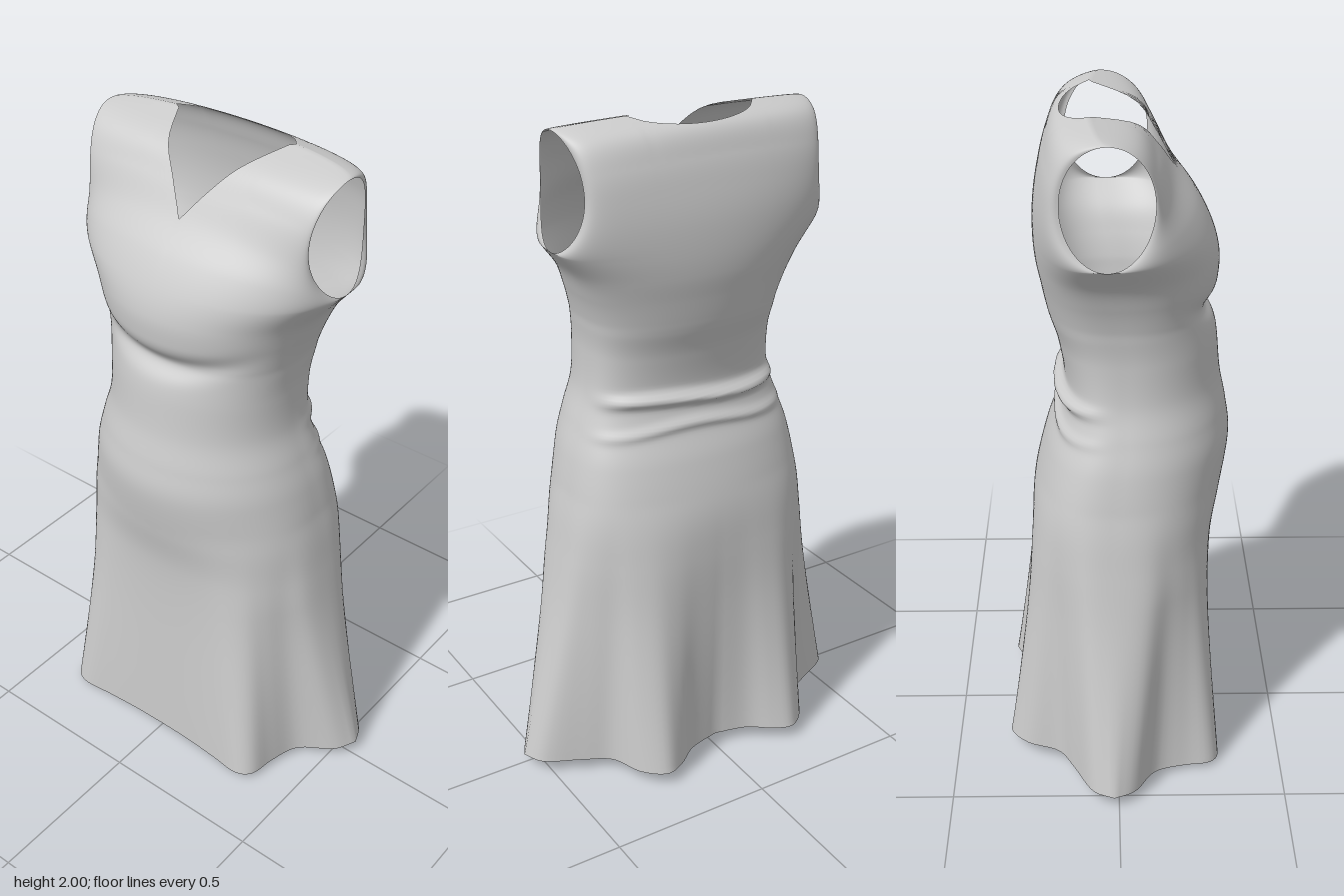
import * as THREE from 'three';
import { mergeVertices, mergeGeometries } from 'three/addons/utils/BufferGeometryUtils.js';

// Body sections, hem to underarm: [height, half width, side z, front z, back z]
const SECTIONS = [
  [0, 0.40, -0.01, 0.28, -0.255],
  [0.25, 0.395, 0, 0.275, -0.26],
  [0.5, 0.39, 0, 0.275, -0.26],
  [0.7, 0.39, 0, 0.285, -0.26],
  [0.85, 0.385, 0.01, 0.312, -0.25],
  [1.0, 0.36, 0.02, 0.333, -0.215],
  [1.1, 0.33, 0.03, 0.322, -0.178],
  [1.2, 0.30, 0.03, 0.302, -0.157],
  [1.32, 0.293, 0.03, 0.29, -0.175],
  [1.4, 0.30, 0.02, 0.277, -0.20],
  [1.44, 0.307, 0.015, 0.277, -0.21],
  [1.5, 0.325, 0, 0.288, -0.222],
  [1.57, 0.355, -0.02, 0.29, -0.235],
  [1.645, 0.413, -0.03, 0.27, -0.24],
];
// Centre lines from the chest over to the shoulder seam: [height, z]
const FRONT_TOP = [[1.73, 0.225], [1.81, 0.16], [1.89, 0.11], [1.96, 0.05], [2.0, -0.085]];
const BACK_TOP = [[1.73, -0.237], [1.81, -0.225], [1.89, -0.205], [1.965, -0.17], [2.0, -0.085]];
// Fluted hem, centre to side: [x, z]
const FRONT_HEM = [[0, 0.285], [0.11, 0.288], [0.22, 0.298], [0.32, 0.31], [0.37, 0.28],
  [0.385, 0.2], [0.42, 0.11], [0.52, 0.05], [0.56, -0.015]];
const BACK_HEM = [[0, -0.24], [0.1, -0.265], [0.17, -0.315], [0.235, -0.335], [0.3, -0.28],
  [0.34, -0.185], [0.42, -0.135], [0.525, -0.08], [0.56, -0.015]];

const LOWER = SECTIONS.length - 1;
const UPPER = FRONT_TOP.length;
const COLS = 72, STEPS = 12;
const NECK = 0.19;

const spline = (pts) => new THREE.CatmullRomCurve3(pts.map((p) => new THREE.Vector3(...p)), false, 'catmullrom', 0.5);
const at = (curve, v) => curve.getPoint(v / (curve.points.length - 1));
const bump = (d, s) => Math.exp(-(d * d) / (s * s));

const sideSeam = spline(SECTIONS.map(([y, w, z]) => [w, y, z]));

// Side seam below the underarm, oval armhole edge above it
function edgePoint(v, dir) {
  if (v <= LOWER) return at(sideSeam, v);
  const a = Math.PI * (v - LOWER) / UPPER;
  const cos = Math.cos(a);
  return new THREE.Vector3(
    0.373 + (cos > 0 ? 0.04 : 0.03) * cos * cos,
    1.81 - 0.165 * cos,
    -0.03 + dir * 0.125 * Math.sin(a));
}

// Roundness of a section: 1 is an ellipse, less is boxier
function roundness(y, rise, front) {
  const base = front
    ? 0.6 + 0.35 * THREE.MathUtils.smoothstep(y, 0.6, 1.0) - 0.1 * THREE.MathUtils.smoothstep(y, 1.2, 1.5)
    : 0.62;
  return base + (1 - base) * rise ** 3;
}

// One half of the dress; dir is +1 for the front and -1 for the back
function panel(dir) {
  const front = dir > 0;
  const centre = spline([
    ...SECTIONS.map((s) => [0, s[0], front ? s[3] : s[4]]),
    ...(front ? FRONT_TOP : BACK_TOP).map(([y, z]) => [0, y, z]),
  ]);
  const hem = spline((front ? FRONT_HEM : BACK_HEM).map(([x, z]) => [x, 0, z]));

  // How far up a column reaches before the neckline cuts it
  const reach = (t) => {
    const n = Math.min(1, Math.abs(0.4 * Math.sin(t)) / NECK);
    return front ? 0.4 + 0.6 * n : 1 - 0.17 * Math.sqrt(1 - n * n);
  };

  const point = (t, row) => {
    let v = row / STEPS;
    if (v > LOWER) v = LOWER + (v - LOWER) * reach(t);
    const rise = Math.max(0, (v - LOWER) / UPPER);
    const c = at(centre, v), e = edgePoint(v, dir);
    const cos = Math.abs(t) > 1.5707 ? 0 : Math.cos(t);
    const k = Math.pow(cos, roundness(c.y, rise, front));
    const p = new THREE.Vector3(e.x * Math.sin(t), e.y + (c.y - e.y) * k, e.z + (c.z - e.z) * k);

    // Flare into the fluted hem
    const flare = Math.pow(Math.max(0, 1 - p.y / 0.9), 1.3);
    if (flare > 0) {
      const h = hem.getPoint(Math.min(1, Math.abs(t) / (Math.PI / 2)));
      p.x += (h.x * Math.sign(t) - p.x) * flare;
      p.z += (h.z - p.z) * flare;
      p.y += flare * (front ? 0.04 * (h.x / 0.56) ** 2 : 0.04 + 0.004 * cos);
    }
    if (front) {
      // Curved crease under the bust
      p.z -= 0.026 * bump(p.y - 1.42 - 0.8 * p.x * p.x, 0.035) * bump(p.x, 0.24) * cos;
    } else {
      // Gathered folds across the back of the waist
      const y1 = 1.182 + 0.01 * Math.sin(9 * p.x), y2 = 1.1 + 0.012 * Math.sin(11 * p.x + 1);
      p.z -= k * (0.03 * bump(p.y - y1, 0.018) + 0.012 * bump(p.y - y2, 0.015));
    }
    return p;
  };

  const rows = (LOWER + UPPER) * STEPS;
  const positions = [], index = [];
  for (let r = 0; r <= rows; r++) {
    for (let i = 0; i <= COLS; i++) {
      positions.push(...point((i / COLS - 0.5) * Math.PI, r).toArray());
      if (r === rows || i === COLS) continue;
      const a = r * (COLS + 1) + i, b = a + 1, d = a + COLS + 1, c = d + 1;
      if (front) index.push(a, b, c, a, c, d);
      else index.push(a, c, b, a, d, c);
    }
  }
  const geometry = new THREE.BufferGeometry();
  geometry.setAttribute('position', new THREE.Float32BufferAttribute(positions, 3));
  geometry.setIndex(index);
  return geometry;
}

export function createModel() {
  // Front and back joined along the side and shoulder seams
  const geometry = mergeVertices(mergeGeometries([panel(1), panel(-1)]), 1e-4);
  geometry.computeVertexNormals();
  const dress = new THREE.Mesh(geometry,
    new THREE.MeshStandardMaterial({ color: 0xcccccc, side: THREE.DoubleSide }));
  dress.name = 'dress';
  const group = new THREE.Group();
  group.name = 'sleevelessDress';
  group.add(dress);
  return group;
}
